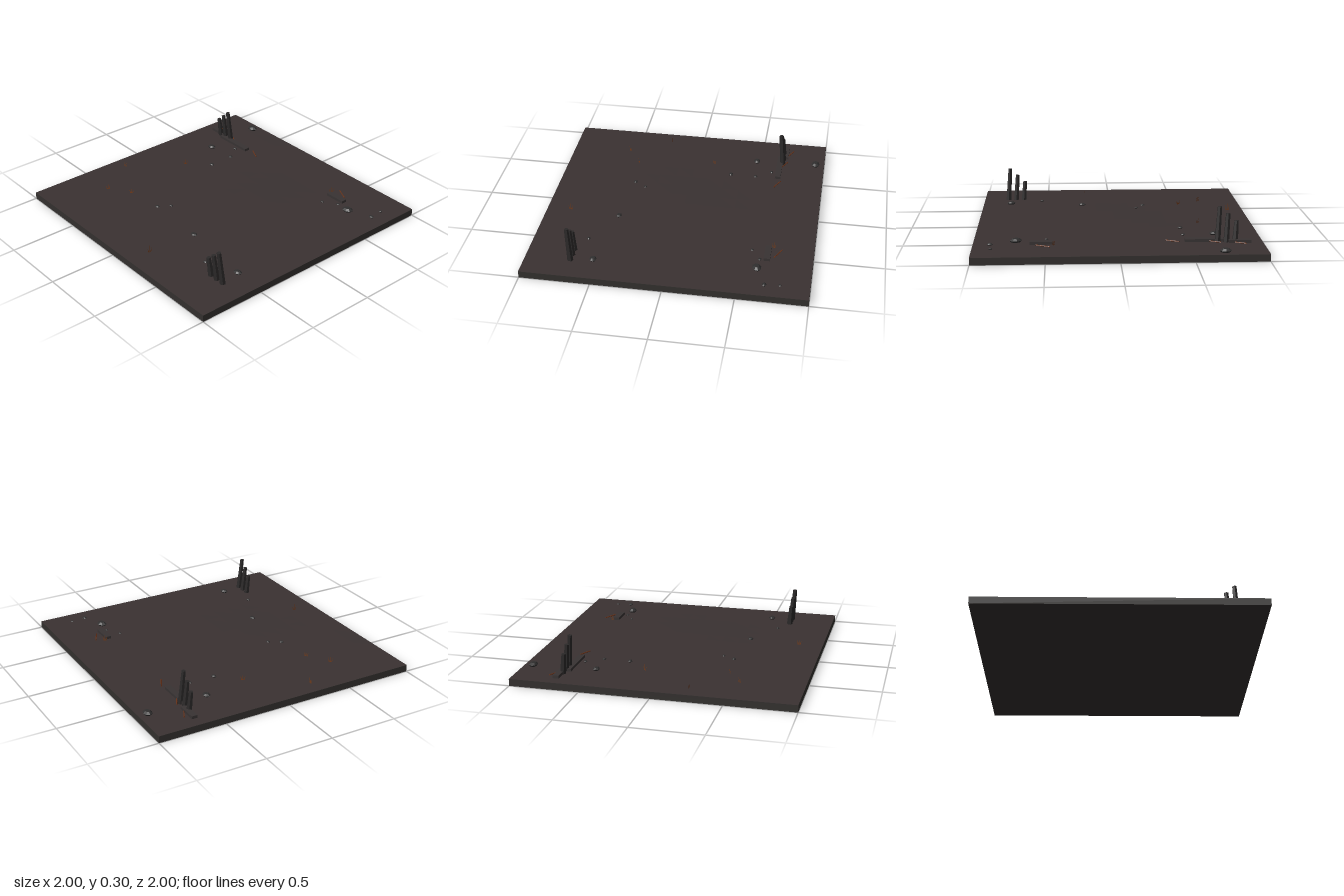
import * as THREE from 'three';

const mat = (name, color, side = THREE.FrontSide) => {
  const m = new THREE.MeshStandardMaterial({ color, side, flatShading: true });
  m.name = name;
  return m;
};

export function createModel() {
  const root = new THREE.Group();
  root.name = 'scorchedGround';
  const earth = mat('scorched earth', 0x3a3232);
  const slabMat = mat('dark slab', 0x33302e);
  const char = mat('charred wood', 0x2b2929);
  const plankMat = mat('burnt plank', 0x383333);
  const stone = mat('dark stone', 0x302f2f);
  const rust = mat('rust', 0x6a3218);
  const dry = mat('dry grass', 0x6e3a1c, THREE.DoubleSide);

  const add = (parent, name, geo, material, x = 0, y = 0, z = 0) => {
    const m = new THREE.Mesh(geo, material);
    m.name = name;
    m.position.set(x, y, z);
    parent.add(m);
    return m;
  };
  const group = (name) => {
    const g = new THREE.Group();
    g.name = name;
    root.add(g);
    return g;
  };

  // Slab with a slightly uneven earth surface over it
  add(root, 'slab', new THREE.BoxGeometry(2, 0.05, 2), slabMat, 0, 0.025, 0);
  const ground = new THREE.PlaneGeometry(2, 2, 16, 16).rotateX(-Math.PI / 2);
  const p = ground.attributes.position;
  for (let i = 0; i < p.count; i++) {
    const x = p.getX(i), z = p.getZ(i);
    const edge = (1 - x * x) * (1 - z * z);
    p.setY(i, 0.0508 + 0.003 * edge * (1 + Math.sin(4 * x + 1) * Math.cos(3 * z)));
  }
  ground.computeVertexNormals();
  add(root, 'earthSurface', ground, earth);

  // Two rows of leaning posts, rising in height
  [[-0.807, -0.675], [0.69, 0.677]].forEach(([x0, z]) => {
    const row = group('postRow');
    [0.15, 0.2, 0.25].forEach((h, i) => {
      const geo = new THREE.CylinderGeometry(0.016, 0.022, h + 0.01, 6).translate(0, h / 2 - 0.005, 0);
      const post = add(row, 'post', geo, char, x0 + i * 0.061, 0.05, z);
      post.rotation.set(0.08, 0, 0.06);
    });
  });

  // Fallen planks: x, z, length
  const planks = group('planks');
  [[-0.837, -0.692, 0.155], [-0.612, -0.655, 0.305], [0.532, -0.678, 0.157]].forEach(([x, z, l]) =>
    add(planks, 'plank', new THREE.BoxGeometry(l, 0.022, 0.043), plankMat, x, 0.061, z));

  // Rusty rods lying on the ground: x, z, length
  const rods = group('rods');
  [[-0.838, -0.73, 0.085], [-0.66, -0.69, 0.1], [-0.375, -0.66, 0.1], [0.52, -0.75, 0.11]].forEach(([x, z, l]) => {
    const rod = add(rods, 'rod', new THREE.CylinderGeometry(0.004, 0.004, l, 6).rotateZ(Math.PI / 2), rust, x, 0.058, z);
    rod.rotation.y = -0.46;
  });

  // Flattened stones: x, z, radius
  const stones = group('stones');
  const profile = [[0, -0.35], [0.7, -0.35], [1, 0], [0.55, 0.35], [0, 0.35]].map(([r, y]) => new THREE.Vector2(r, y));
  const stoneGeo = new THREE.LatheGeometry(profile, 8);
  [
    [-0.706, -0.933, 0.042], [-0.684, -0.473, 0.033], [-0.545, -0.6, 0.017], [-0.465, -0.484, 0.018],
    [-0.465, -0.291, 0.021], [0.706, -0.618, 0.043], [0.599, -0.628, 0.016], [0.497, -0.564, 0.015],
    [0.872, -0.794, 0.014], [0.882, -0.687, 0.021], [-0.241, 0.42, 0.02], [-0.187, 0.334, 0.016],
    [0.23, 0.452, 0.027], [0.786, 0.521, 0.033], [0.545, 0.607, 0.017],
  ].forEach(([x, z, r], i) => {
    const s = add(stones, 'stone', stoneGeo, stone, x, 0.05 + 0.3 * r, z);
    s.scale.set(r, r, r * 0.75);
    s.rotation.y = (i % 3) * 0.15;
  });

  // Dry grass tufts, each a fan of three upright blades: x, z, height, turn
  const blade = (x0, x1, h) => new THREE.Shape([[x0 - 0.004, 0], [x0 + 0.004, 0], [x1, h]].map(([x, y]) => new THREE.Vector2(x, y)));
  const fan = new THREE.ShapeGeometry([blade(-0.007, -0.018, 0.7), blade(0, 0.002, 1), blade(0.007, 0.019, 0.75)]);
  const tufts = group('grassTufts');
  [
    [-0.885, 0.245, 0.065, 0.1], [-0.69, 0.55, 0.055, 0.75], [-0.525, 0.45, 0.05, 0.6],
    [0.2, 0.825, 0.055, 1.45], [-0.61, -0.14, 0.05, 0.9], [0.445, -0.712, 0.055, 1.0],
  ].forEach(([x, z, h, turn]) => {
    const t = add(tufts, 'grassTuft', fan, dry, x, 0.05, z);
    t.scale.y = h;
    t.rotation.y = turn;
  });

  return root;
}
